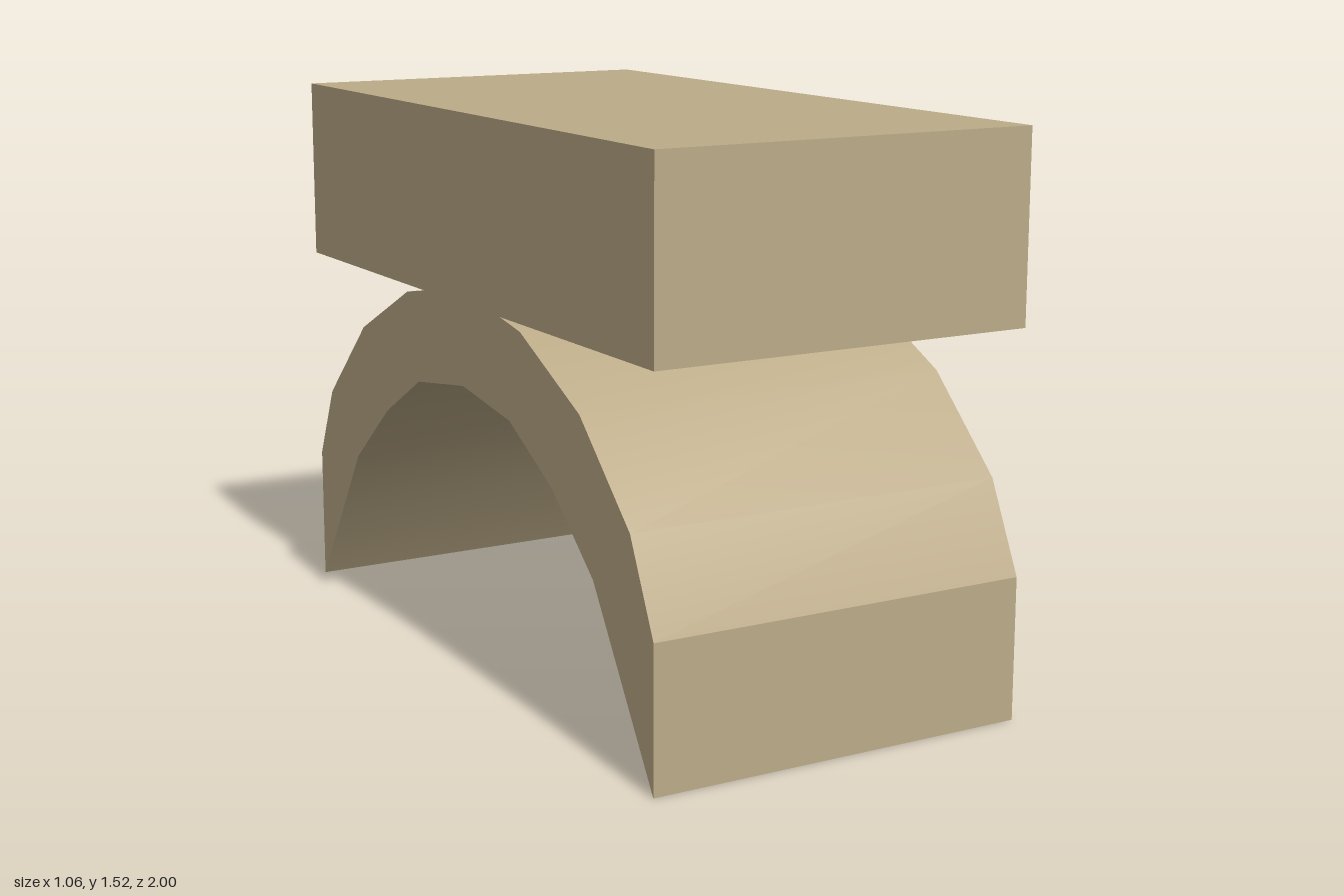
import * as THREE from 'three';
import { toCreasedNormals } from 'three/addons/utils/BufferGeometryUtils.js';

const WIDTH = 1.06;

export function createModel() {
  const group = new THREE.Group();
  const stone = new THREE.MeshStandardMaterial({ color: 0xbcab88 });
  stone.name = 'sandstone';

  // Flat rectangular slab across the top
  const slab = new THREE.Mesh(new THREE.BoxGeometry(WIDTH, 0.5, 2), stone);
  slab.name = 'topSlab';
  slab.position.y = 1.27;
  group.add(slab);

  // Arch profile as [z, y]: outer curve front to back, then inner curve back to front
  const outer = [[1, 0.38], [0.89, 0.615], [0.645, 0.85], [0.335, 1.0], [0, 1.06],
    [-0.345, 1.0], [-0.655, 0.85], [-0.905, 0.615], [-1, 0.41]];
  const inner = [[-1, 0.03], [-0.72, 0.455], [-0.5, 0.635], [-0.28, 0.76], [0, 0.8],
    [0.27, 0.76], [0.5, 0.635], [0.71, 0.455], [1, 0]];
  const profile = new THREE.Shape([...outer, ...inner].map(([z, y]) => new THREE.Vector2(-z, y)));

  // Extrude across the width, smooth along the curves and sharp at the cut ends
  const geometry = new THREE.ExtrudeGeometry(profile, { depth: WIDTH, bevelEnabled: false });
  geometry.translate(0, 0, -WIDTH / 2);
  geometry.rotateY(Math.PI / 2);
  const arch = new THREE.Mesh(toCreasedNormals(geometry, 0.4), stone);
  arch.name = 'arch';
  group.add(arch);

  return group;
}
